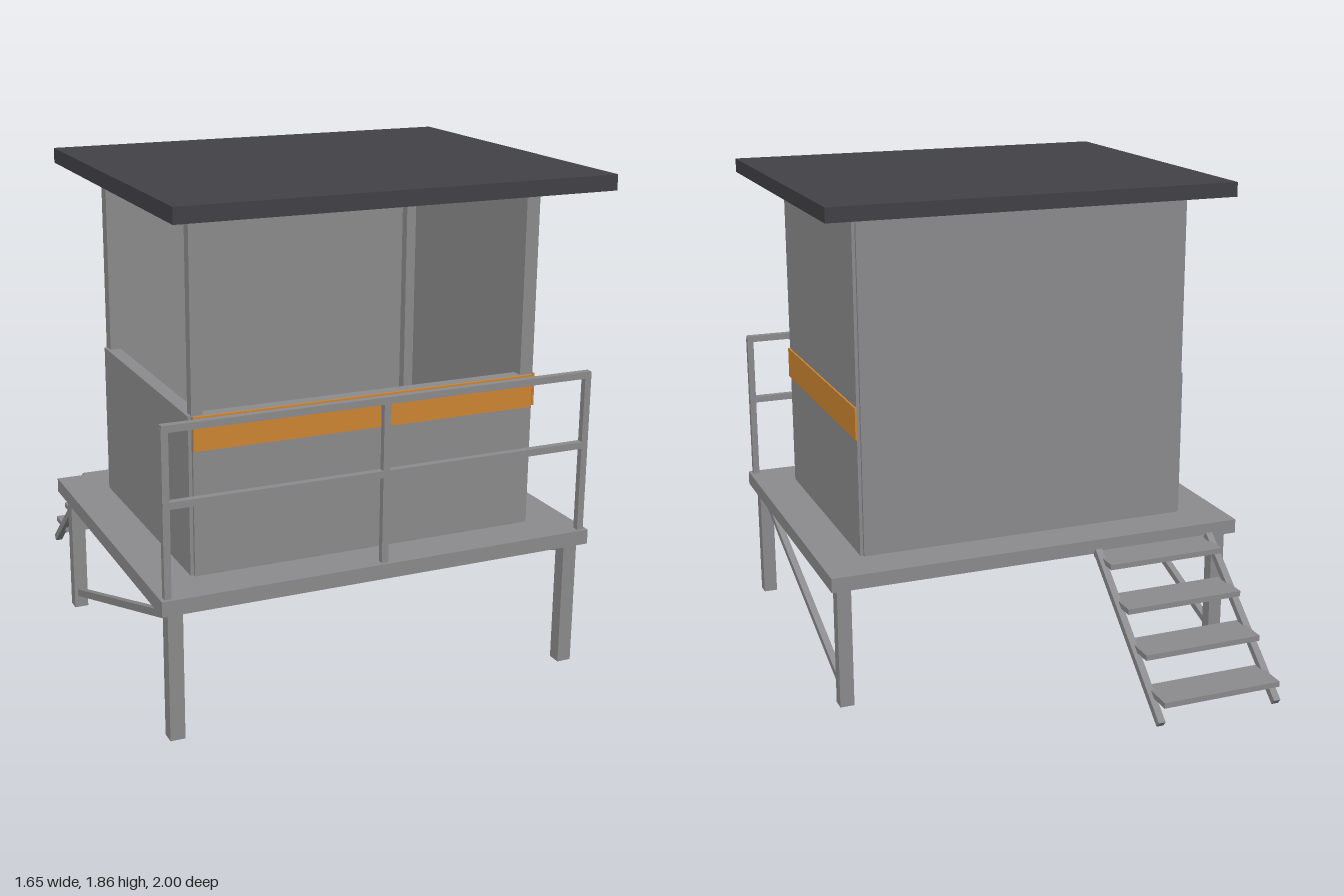
import * as THREE from 'three';

const gray = new THREE.MeshStandardMaterial({ color: 0x8c8c8e });
gray.name = 'weatheredGray';
const dark = new THREE.MeshStandardMaterial({ color: 0x424146 });
dark.name = 'roofCharcoal';
const orange = new THREE.MeshStandardMaterial({ color: 0xce8633 });
orange.name = 'safetyOrange';

// Box given by its minimum and maximum on each axis
function slab(parent, name, mat, [x0, x1], [y0, y1], [z0, z1]) {
  const mesh = new THREE.Mesh(new THREE.BoxGeometry(x1 - x0, y1 - y0, z1 - z0), mat);
  mesh.position.set((x0 + x1) / 2, (y0 + y1) / 2, (z0 + z1) / 2);
  mesh.name = name;
  parent.add(mesh);
  return mesh;
}

// Sloping bar in the plane of constant x, between two [z, y] points
function bar(parent, name, x, [z0, y0], [z1, y1], width, thick) {
  const length = Math.hypot(z1 - z0, y1 - y0);
  const mesh = new THREE.Mesh(new THREE.BoxGeometry(width, thick, length), gray);
  mesh.position.set(x, (y0 + y1) / 2, (z0 + z1) / 2);
  mesh.rotation.x = -Math.atan2(y1 - y0, z1 - z0);
  mesh.name = name;
  parent.add(mesh);
}

function addGroup(parent, name) {
  const g = new THREE.Group();
  g.name = name;
  parent.add(g);
  return g;
}

export function createModel() {
  const model = new THREE.Group();
  model.name = 'lookoutHut';
  const floor = 0.53, eave = 1.8, sill = 1.1;

  // Platform, legs and diagonal braces
  const base = addGroup(model, 'platform');
  slab(base, 'deck', gray, [-0.823, 0.823], [0.475, floor], [-0.395, 0.9]);
  for (const s of [-1, 1]) {
    const x = s * 0.768;
    slab(base, 'frontLeg', gray, [x - 0.027, x + 0.027], [0, 0.475], [0.82, 0.872]);
    slab(base, 'rearLeg', gray, [x - 0.027, x + 0.027], [0, 0.475], [-0.358, -0.308]);
    bar(base, 'brace', x, [0.835, 0.447], [-0.32, 0.058], 0.026, 0.027);
  }

  // Cabin frame: corner posts and sill rails
  const cabin = addGroup(model, 'cabin');
  for (const x of [-0.65, 0.61])
    for (const z of [-0.218, 0.69])
      slab(cabin, 'cornerPost', gray, [x, x + 0.04], [floor, eave], [z, z + 0.04]);
  slab(cabin, 'frontSill', gray, [-0.61, 0.61], [sill - 0.04, sill], [0.69, 0.73]);
  slab(cabin, 'leftSill', gray, [-0.65, -0.61], [sill - 0.04, sill], [-0.178, 0.69]);

  // Wall panels: two full height, two half height below the openings
  slab(cabin, 'backWall', gray, [-0.65, 0.65], [floor, eave], [-0.23, -0.218]);
  slab(cabin, 'fullSideWall', gray, [0.65, 0.662], [floor, eave], [-0.218, 0.73]);
  slab(cabin, 'halfSideWall', gray, [-0.662, -0.65], [floor, sill], [-0.218, 0.73]);
  slab(cabin, 'frontHalfWall', gray, [-0.65, 0.65], [floor, sill], [0.73, 0.742]);

  // Painted bands
  slab(cabin, 'frontBand', orange, [-0.65, 0.65], [0.98, 1.101], [0.742, 0.75]);
  slab(cabin, 'sideBand', orange, [0.662, 0.669], [0.98, 1.101], [-0.222, 0.735]);

  // Roof
  slab(model, 'roof', dark, [-0.793, 0.793], [eave, 1.855], [-0.355, 1]);

  // Front railing
  const railing = addGroup(model, 'railing');
  for (const x of [-0.797, 0, 0.797])
    slab(railing, 'railPost', gray, [x - 0.0125, x + 0.0125], [floor, 1.12], [0.863, 0.887]);
  for (const y of [0.857, 1.12])
    slab(railing, 'rail', gray, [-0.808, 0.808], [y - 0.0125, y + 0.0125], [0.862, 0.888]);

  // Rear stair
  const stair = addGroup(model, 'stair');
  for (const x of [-0.682, -0.21])
    bar(stair, 'stringer', x, [-0.43, 0.5], [-0.98, 0.038], 0.027, 0.027);
  for (let i = 0; i < 4; i++) {
    const z = -0.39 - i * 0.152, y = 0.484 - i * 0.118;
    slab(stair, 'tread', gray, [-0.68, -0.212], [y - 0.021, y], [z - 0.154, z]);
  }
  return model;
}
